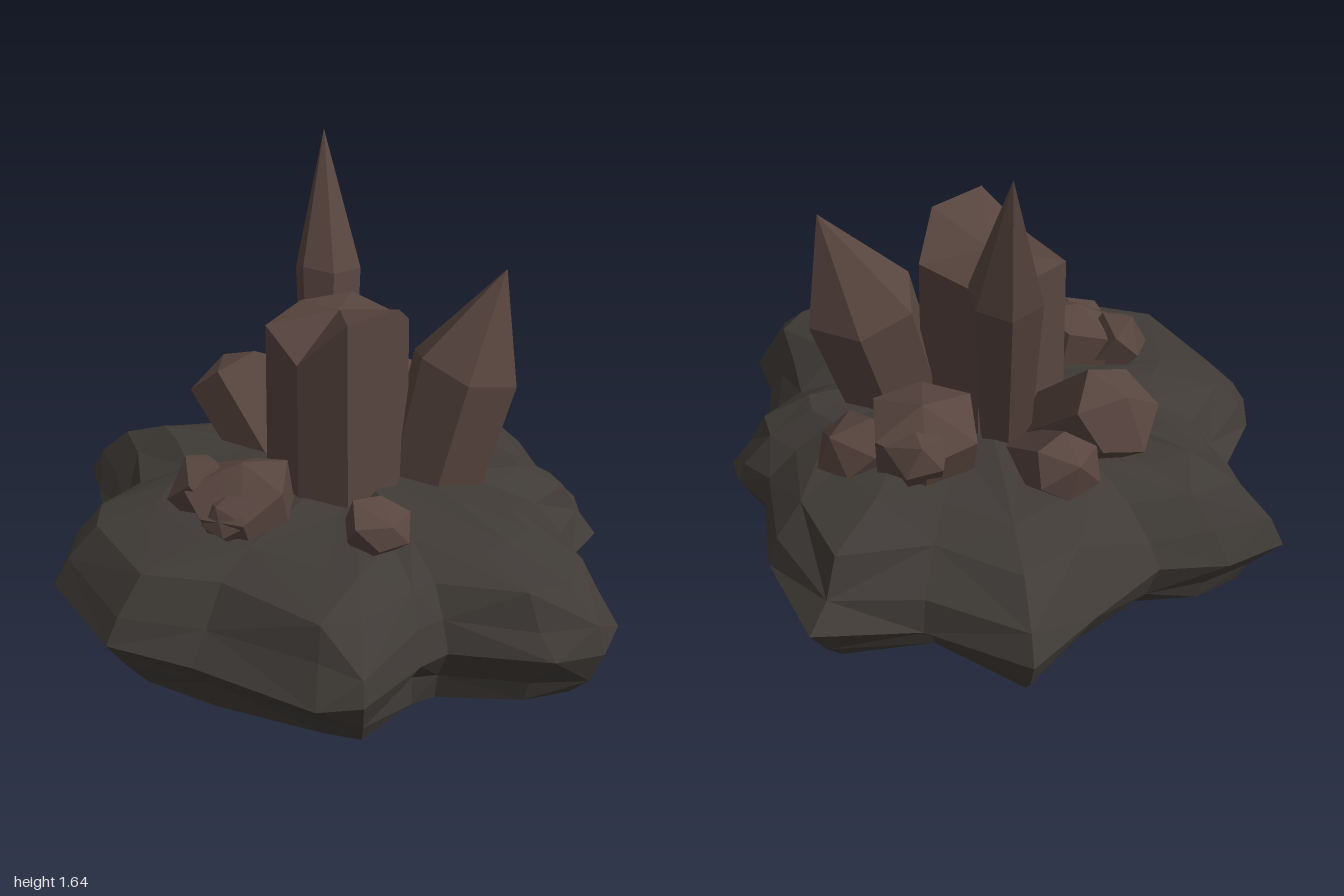
import * as THREE from 'three';

const V = (p) => new THREE.Vector3(...p);

// Small seeded generator for the rough stone
function seeded(seed) {
  let s = seed;
  return () => {
    s = (s * 16807) % 2147483647;
    return (s / 2147483647) * 2 - 1;
  };
}

// Joins closed rings of points, with a closing fan at each end
function loft(rings, start, end) {
  const pos = [];
  const tri = (...pts) => pts.forEach((p) => pos.push(p.x, p.y, p.z));
  const n = rings[0].length;
  for (let j = 0; j < n; j++) {
    const k = (j + 1) % n;
    tri(start, rings[0][k], rings[0][j]);
    for (let i = 0; i < rings.length - 1; i++) {
      const a = rings[i][j], b = rings[i][k], c = rings[i + 1][k], d = rings[i + 1][j];
      if ((i + j) % 2) { tri(a, b, c); tri(a, c, d); }
      else { tri(a, b, d); tri(b, c, d); }
    }
    const last = rings[rings.length - 1];
    tri(end, last[j], last[k]);
  }
  const geo = new THREE.BufferGeometry();
  geo.setAttribute('position', new THREE.Float32BufferAttribute(pos, 3));
  geo.computeVertexNormals();
  return geo;
}

// Faceted crystal: foot, shoulder and tip centres, with foot and shoulder radii
function crystal(foot, shoulder, tip, r0, r1, sides = 6, twist = 0) {
  const a = V(foot), b = V(shoulder);
  const q = new THREE.Quaternion().setFromUnitVectors(
    new THREE.Vector3(0, 1, 0), b.clone().sub(a).normalize());
  const ring = (c, r) => Array.from({ length: sides }, (_, j) => {
    const t = twist + (j / sides) * Math.PI * 2;
    const rr = r * (1 + 0.07 * Math.sin(j * 2.3 + twist));
    return new THREE.Vector3(Math.sin(t) * rr, 0.12 * r * Math.sin(j * 1.9 + twist), Math.cos(t) * rr)
      .applyQuaternion(q).add(c);
  });
  return loft([ring(a, r0), ring(b, r1)], a, V(tip));
}

// Star-like stone slab: plan outline scaled through stacked levels
function stone() {
  const outline = [
    [0.11, 1], [0.26, 0.93], [0.34, 0.74], [0.48, 0.56], [0.66, 0.51], [0.71, 0.4],
    [0.71, 0.25], [0.87, 0], [0.96, -0.33], [0.69, -0.52], [0.56, -0.85], [0.28, -0.82],
    [0, -0.82], [-0.19, -0.94], [-0.37, -1], [-0.44, -0.85], [-0.56, -0.62], [-0.77, -0.53],
    [-0.89, -0.42], [-0.96, -0.01], [-0.83, 0.24], [-0.7, 0.64], [-0.6, 0.73],
    [-0.33, 0.68], [-0.24, 0.7], [-0.05, 0.95],
  ];
  const levels = [
    [0.02, 0.42], [0.09, 0.68], [0.17, 0.86], [0.25, 0.92], [0.36, 1],
    [0.45, 0.94], [0.55, 0.85], [0.61, 0.66], [0.635, 0.35],
  ];
  const rnd = seeded(71);
  const rings = levels.map(([y, s]) => outline.map(([x, z]) => {
    const k = s === 1 ? 1 : s + rnd() * 0.035;
    return new THREE.Vector3(x * k, y + rnd() * 0.016, z * k);
  }));
  return loft(rings, V([0, 0, 0]), V([0, 0.65, 0]));
}

// Large upright block with a slanted, faceted top
function blockCrystal() {
  const top = [
    [0.03, 1.23, 0.19], [0.18, 1.13, 0.08], [0.18, 1.15, -0.19], [0, 1.15, -0.24],
    [-0.18, 1.12, -0.2], [-0.26, 1.08, 0.05], [-0.18, 1.23, 0.19],
  ].map(V);
  const foot = top.map((p) => new THREE.Vector3(p.x * 1.02, 0.55, p.z * 1.03));
  return loft([foot, top], V([0, 0.55, 0]), V([0, 1.17, -0.05]));
}

export function createModel() {
  const model = new THREE.Group();
  const rockMat = new THREE.MeshStandardMaterial({ color: 0x403b37, flatShading: true });
  const crystalMat = new THREE.MeshStandardMaterial({ color: 0x58453f, flatShading: true });
  const add = (name, geo, mat = crystalMat, parent = model) => {
    const mesh = new THREE.Mesh(geo, mat);
    mesh.name = name;
    parent.add(mesh);
  };

  add('rockBase', stone(), rockMat);

  // Tall central crystals
  add('blockCrystal', blockCrystal());
  add('frontSpike', crystal([0.18, 0.5, 0.17], [0.3, 0.97, 0.22], [0.4, 1.3, 0.29], 0.16, 0.18, 6, 0.3));
  add('tallSpike', crystal([0.08, 0.5, -0.2], [0.18, 1.2, -0.31], [0.255, 1.64, -0.415], 0.08, 0.11, 6, 0.5));

  // Stubby crystals clustered around the foot
  const clusters = {
    backCluster: [
      [[-0.06, 0.58, -0.3], [-0.06, 0.8, -0.55], [-0.06, 0.87, -0.59], 0.14, 0.15, 6, 0.2],
      [[0.08, 0.55, -0.32], [0.15, 0.7, -0.56], [0.16, 0.74, -0.62], 0.1, 0.11, 6, 0.6],
    ],
    leftCluster: [
      [[0.35, 0.55, -0.12], [0.38, 0.77, -0.17], [0.41, 0.86, -0.2], 0.16, 0.17, 6, 0.4],
      [[0.42, 0.55, 0], [0.54, 0.66, 0.01], [0.6, 0.71, 0.02], 0.1, 0.12, 6, 0.1],
      [[0.38, 0.55, -0.14], [0.46, 0.74, -0.24], [0.49, 0.79, -0.29], 0.08, 0.1, 5, 0.8],
    ],
    rightCluster: [
      [[-0.4, 0.55, -0.02], [-0.45, 0.71, -0.02], [-0.42, 0.78, -0.03], 0.15, 0.17, 7, 0.3],
      [[-0.42, 0.55, -0.1], [-0.5, 0.7, -0.18], [-0.51, 0.77, -0.2], 0.08, 0.1, 5, 0.6],
      [[-0.42, 0.55, 0.02], [-0.53, 0.67, 0.04], [-0.57, 0.7, 0.03], 0.08, 0.09, 6, 0],
    ],
    frontPebble: [
      [[-0.25, 0.62, 0.36], [-0.26, 0.7, 0.43], [-0.27, 0.71, 0.49], 0.08, 0.1, 6, 0.4],
    ],
  };
  for (const [name, list] of Object.entries(clusters)) {
    const group = new THREE.Group();
    group.name = name;
    list.forEach((c, i) => add(`stubCrystal${i + 1}`, crystal(...c), crystalMat, group));
    model.add(group);
  }
  return model;
}
